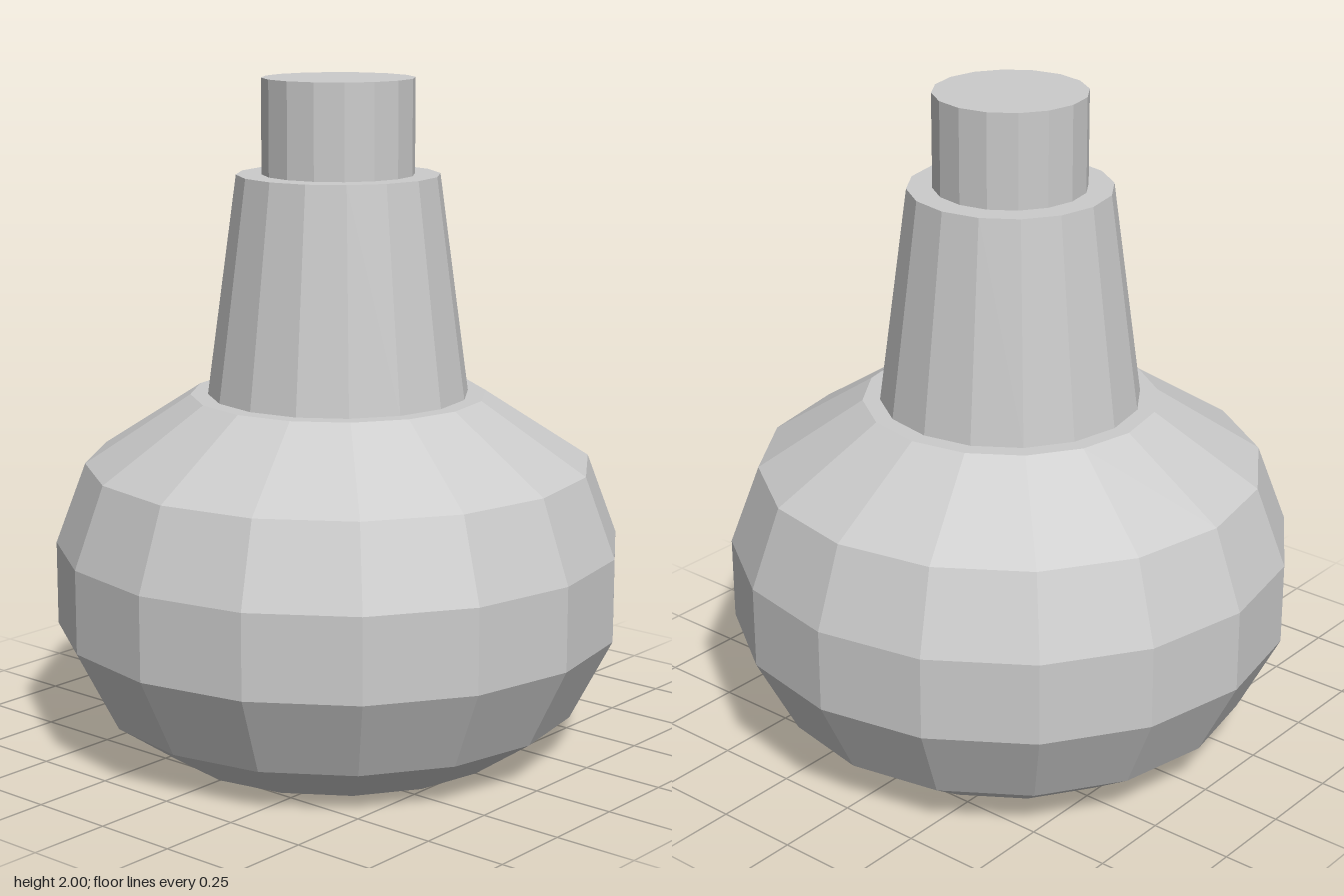
import * as THREE from 'three';

const SIDES = 16;

export function createModel() {
  const group = new THREE.Group();
  const material = new THREE.MeshStandardMaterial({ color: 0xcccccc, flatShading: true });

  // Revolves a [radius, height] profile, listed bottom to top, into a faceted part
  const addTurned = (name, profile) => {
    const points = profile.map(([r, y]) => new THREE.Vector2(r, y));
    const mesh = new THREE.Mesh(new THREE.LatheGeometry(points, SIDES), material);
    mesh.name = name;
    group.add(mesh);
  };

  // Round belly with flat base and a narrow flat ledge around the neck
  addTurned('body', [
    [0, 0], [0.53, 0], [0.72, 0.13], [0.845, 0.375],
    [0.845, 0.625], [0.755, 0.865], [0.44, 1.07], [0.388, 1.07],
  ]);

  // Tapered neck with its flat rim
  addTurned('neck', [[0.388, 1.07], [0.3, 1.72], [0.225, 1.72]]);

  // Straight stopper with a closed top
  addTurned('stopper', [[0.225, 1.72], [0.225, 2], [0, 2]]);

  return group;
}
